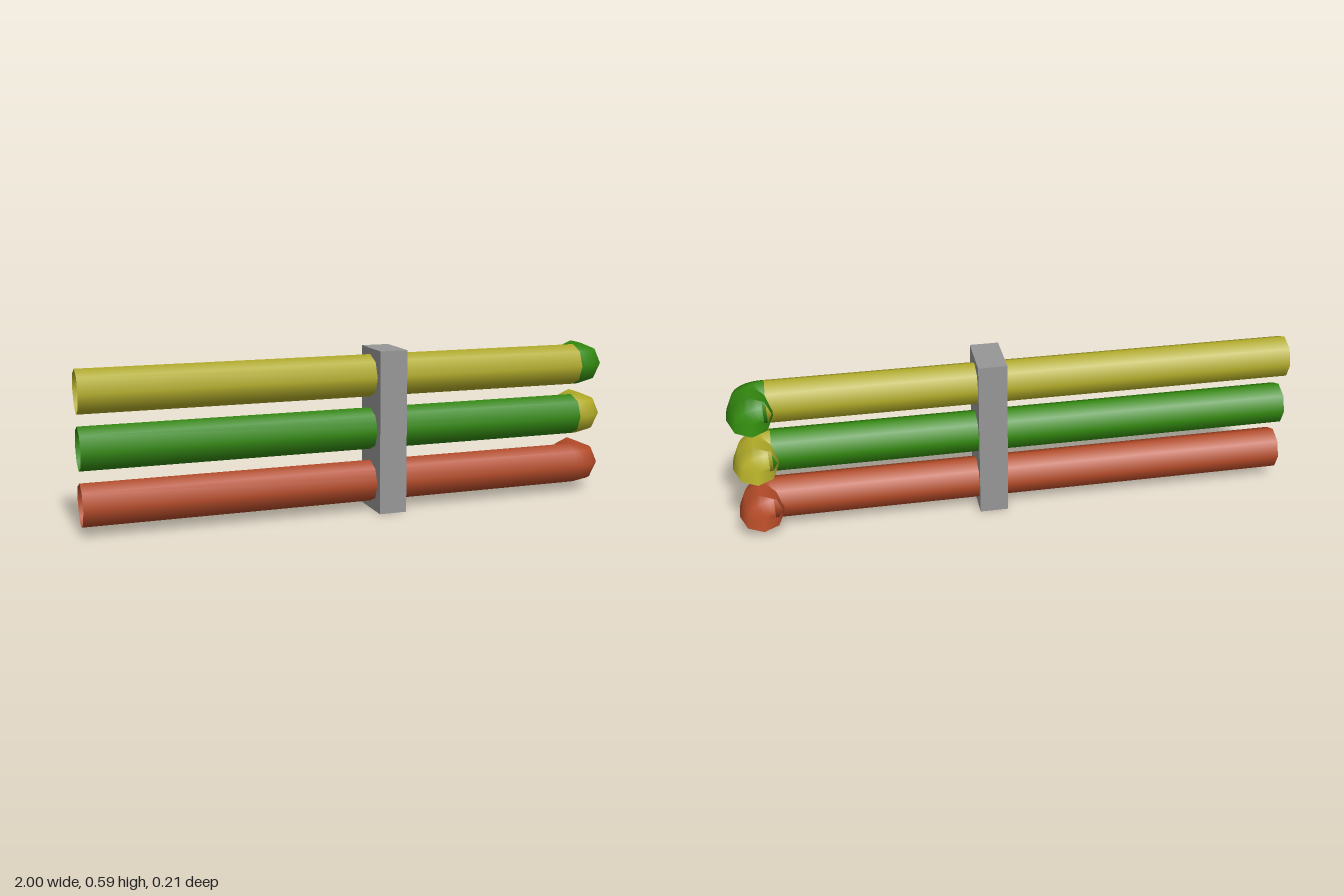
import * as THREE from 'three';

const RADIUS = 0.077;

function material(name, color, side = THREE.DoubleSide) {
  const m = new THREE.MeshStandardMaterial({ color, side });
  m.name = name;
  return m;
}

// Centre line of the bend: short lead-in, quarter turn, straight outlet to the back
function elbowPath() {
  const v = (x, z) => new THREE.Vector3(x, 0, z);
  const x = 0.922, z = 0.003, r = 0.04, k = r * 0.4477;
  const path = new THREE.CurvePath();
  path.add(new THREE.LineCurve3(v(0.866, z), v(x - r, z)));
  path.add(new THREE.CubicBezierCurve3(v(x - r, z), v(x - k, z), v(x, z - k), v(x, z - r)));
  path.add(new THREE.LineCurve3(v(x, z - r), v(x, -0.103)));
  return path;
}

export function createModel() {
  const group = new THREE.Group();
  group.name = 'pipeRack';

  const yellow = material('yellow', 0xb0aa28);
  const green = material('green', 0x32870f);
  const red = material('rust red', 0xb24a28);
  const grey = material('grey', 0x969696, THREE.FrontSide);

  const add = (parent, name, geometry, mat) => {
    const mesh = new THREE.Mesh(geometry, mat);
    mesh.name = name;
    parent.add(mesh);
    return mesh;
  };

  // Open eight-sided pipe along x, and the open elbow at its end
  const start = -1, end = 0.871;
  const pipeGeometry = new THREE.CylinderGeometry(RADIUS, RADIUS, end - start, 8, 1, true);
  pipeGeometry.rotateZ(-Math.PI / 2).rotateY(-0.0017);
  pipeGeometry.translate((start + end) / 2, 0, 0.0015);
  const elbowGeometry = new THREE.TubeGeometry(elbowPath(), 12, RADIUS, 8, false);

  // Three stacked pipes
  [
    ['lowerPipe', 0.103, red, red],
    ['middlePipe', 0.298, green, yellow],
    ['upperPipe', 0.492, yellow, green],
  ].forEach(([name, y, pipeMaterial, elbowMaterial]) => {
    const pipe = new THREE.Group();
    pipe.name = name;
    pipe.position.y = y;
    add(pipe, 'straightPipe', pipeGeometry, pipeMaterial);
    add(pipe, 'elbow', elbowGeometry, elbowMaterial);
    group.add(pipe);
  });

  // Upright block holding the pipes
  const bracket = add(group, 'bracket', new THREE.BoxGeometry(0.102, 0.591, 0.186), grey);
  bracket.position.set(0.093, 0.2955, 0.011);

  return group;
}
